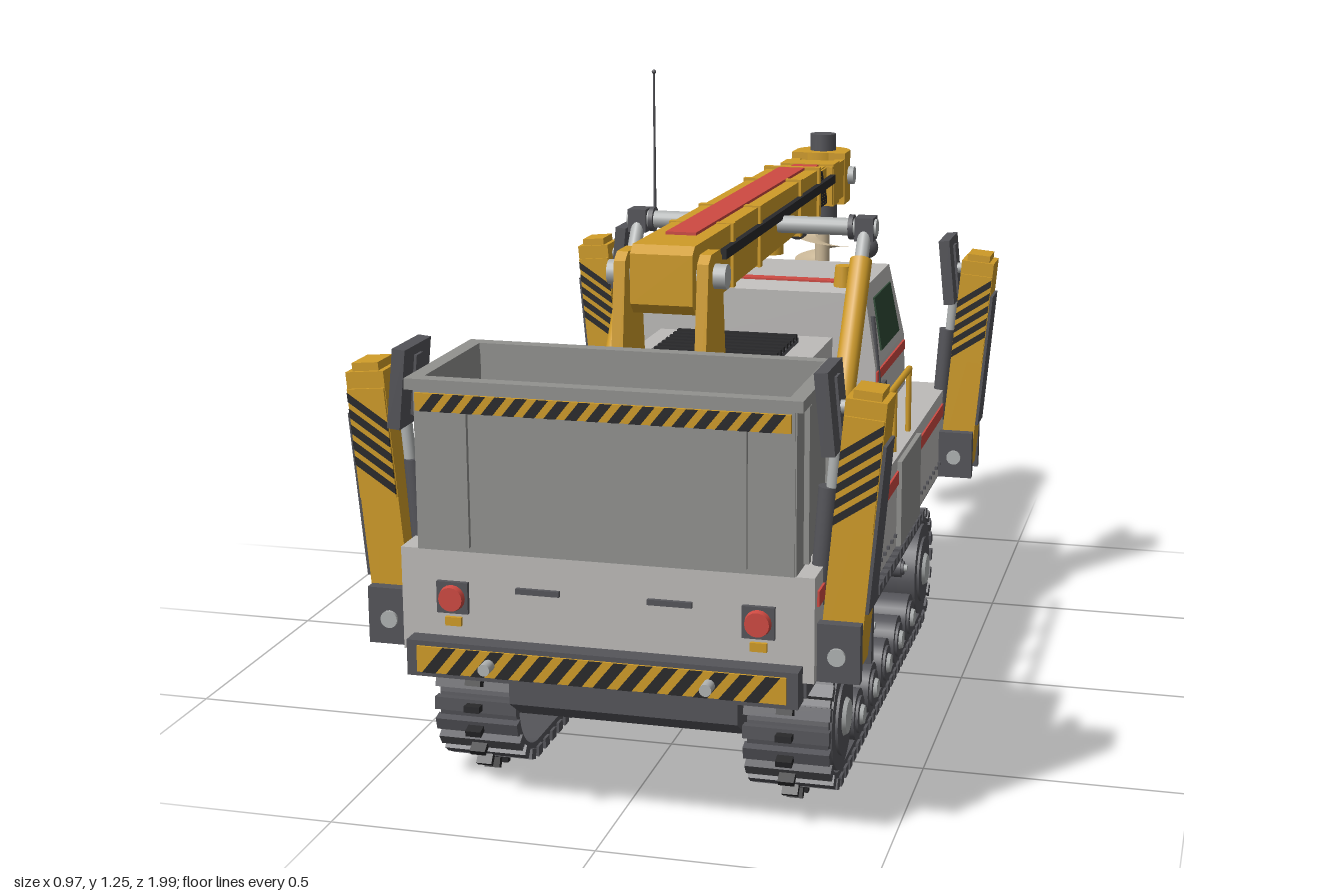
import * as THREE from 'three';
import { ParametricGeometry } from 'three/addons/geometries/ParametricGeometry.js';

const mat = (name, color, side = THREE.FrontSide) => Object.assign(new THREE.MeshStandardMaterial({ color, side }), { name });

export function createModel() {
  const body = mat('bodyGrey', 0xbdbbb9), bin = mat('panelGrey', 0x92928f), dark = mat('darkGrey', 0x55555a),
    black = mat('black', 0x29292b), yellow = mat('yellow', 0xd09c28), red = mat('red', 0xcf4a42),
    glass = mat('greenGlass', 0x2f4a36), soil = mat('soilBrown', 0x8c7562), tan = mat('augerTan', 0xcbb898, THREE.DoubleSide),
    steel = mat('steel', 0xb0b3b3);
  const root = new THREE.Group();
  const V = (x, y, z) => new THREE.Vector3(x, y, z);

  const add = (name, geo, m, p = [0, 0, 0], parent = root) => {
    const o = new THREE.Mesh(geo, m);
    o.name = name;
    o.position.set(...p);
    parent.add(o);
    return o;
  };
  const group = (name, p = [0, 0, 0], parent = root) => {
    const g = new THREE.Group();
    g.name = name;
    g.position.set(...p);
    parent.add(g);
    return g;
  };
  const box = (name, m, w, h, d, x, y, z, parent) => add(name, new THREE.BoxGeometry(w, h, d), m, [x, y, z], parent);
  // Cylinder between two points
  const rod = (name, m, a, b, r, parent, r2 = r, n = 16) => {
    const o = add(name, new THREE.CylinderGeometry(r2, r, a.distanceTo(b), n), m, a.clone().lerp(b, 0.5).toArray(), parent);
    o.quaternion.setFromUnitVectors(V(0, 1, 0), b.clone().sub(a).normalize());
    return o;
  };
  const shapeOf = pts => new THREE.Shape(pts.map(p => new THREE.Vector2(...p)));
  // Side profile of (z, y) points, extruded across x
  const prism = (shape, w) => new THREE.ExtrudeGeometry(shape, { depth: w, bevelEnabled: false, curveSegments: 16 })
    .translate(0, 0, -w / 2).rotateY(-Math.PI / 2);
  // Yellow plate facing +z with slanted black stripes
  const hazard = (w, h, n, skew, p, parent) => {
    const g = group('hazardPlate', p, parent), s = skew * h * 0.8, step = (w - Math.abs(s)) / n;
    box('hazardBase', yellow, w, h, 0.006, 0, 0, 0, g);
    for (let i = 0; i < n; i++) {
      const a = -w / 2 + Math.max(0, -s) + (i + 0.22) * step, b = a + step * 0.56;
      add('hazardStripe', new THREE.ExtrudeGeometry(shapeOf([[a, -h / 2], [b, -h / 2], [b + s, h / 2], [a + s, h / 2]]),
        { depth: 0.003, bevelEnabled: false }), black, [0, 0, 0.002], g);
    }
    return g;
  };

  // Lower hull
  add('lowerHull', prism(shapeOf([[0.77, 0.13], [0.83, 0.17], [0.83, 0.28], [-0.41, 0.28], [-0.41, 0.18], [-0.33, 0.13]]), 0.43), dark);
  box('skidPlate', dark, 0.34, 0.01, 0.9, 0, 0.127, 0.2);
  box('underDeck', dark, 0.72, 0.03, 1.46, 0, 0.285, 0.19);

  // Tracks
  const zA = -0.24, zB = 0.66, cy = 0.138;
  const stadium = (r, C) => new C().absarc(zB, cy, r, -Math.PI / 2, Math.PI / 2).absarc(zA, cy, r, Math.PI / 2, Math.PI * 1.5).closePath();
  for (const s of [-1, 1]) {
    const t = group(s > 0 ? 'leftTrack' : 'rightTrack', [s * 0.295, 0, 0]);
    const belt = stadium(0.12, THREE.Shape);
    belt.holes.push(stadium(0.104, THREE.Path));
    add('trackBelt', prism(belt, 0.15), dark, [0, 0, 0], t);
    const run = stadium(0.125, THREE.Path), count = 64;
    for (let i = 0; i < count; i++) {
      const p = run.getPointAt(i / count), d = run.getTangentAt(i / count);
      box('trackPad', dark, 0.16, 0.02, 0.024, 0, p.y, p.x, t).rotation.x = -Math.atan2(d.y, d.x);
      box('guideTooth', black, 0.03, 0.02, 0.012, 0, p.y - d.x * 0.022, p.x + d.y * 0.022, t).rotation.x = -Math.atan2(d.y, d.x);
    }
    const wheel = (name, z, y, r, hub) => {
      rod(name, dark, V(-0.06, y, z), V(0.06 * 1.3 * s, y, z), r, t, r, 28);
      rod(name + 'Ring', dark, V(s * 0.05, y, z), V(s * 0.083, y, z), r * 0.72, t);
      rod(name + 'Hub', steel, V(s * 0.07, y, z), V(s * 0.09, y, z), hub, t, hub * 0.7);
    };
    wheel('driveWheel', zA, cy, 0.1, 0.045);
    wheel('idlerWheel', zB, cy, 0.1, 0.045);
    for (let i = 0; i < 5; i++) wheel('roadWheel', 0.5 - i * 0.144, 0.08, 0.05, 0.025);
    for (const z of [0.4, 0.03]) wheel('returnRoller', z, 0.225, 0.02, 0.01);
  }

  // Upper body with side stripes, rivets and rails
  box('bodyHull', body, 0.75, 0.19, 1.48, 0, 0.395, 0.19);
  for (const s of [-1, 1]) {
    box('sideStripe', red, 0.006, 0.028, 1.38, s * 0.376, 0.447, 0.22);
    for (let i = 0; i < 30; i++) box('rivet', dark, 0.008, 0.007, 0.007, s * 0.377, 0.33, 0.76 - i * 0.041);
    const rail = group('handRail');
    rod('railTop', yellow, V(s * 0.36, 0.625, 0.58), V(s * 0.36, 0.625, -0.1), 0.007, rail, 0.007, 8);
    for (const z of [0.575, 0.41, 0.25, 0.08, -0.095])
      rod('railPost', yellow, V(s * 0.36, 0.48, z), V(s * 0.36, 0.625, z), 0.006, rail, 0.006, 8);
  }
  box('sidePanel', bin, 0.012, 0.18, 0.24, 0.379, 0.39, 0);
  box('sideStep', bin, 0.06, 0.04, 0.11, -0.4, 0.41, -0.255);

  // Bumpers, lamps and grille on both ends
  for (const [s, z] of [[1, 0.93], [-1, -0.55]]) {
    const e = group(s > 0 ? 'frontEnd' : 'backEnd', [0, 0, z]);
    if (s < 0) e.rotation.y = Math.PI;
    box('bumper', dark, 0.71, 0.066, 0.045, 0, 0.298, 0.015, e);
    hazard(0.67, 0.048, 14, 1, [0, 0.298, 0.039], e);
    for (const x of [-0.2, 0.2]) {
      rod('towPin', steel, V(x, 0.298, 0), V(x, 0.298, s > 0 ? 0.07 : 0.055), 0.011, e);
      box('lampPlate', dark, 0.058, 0.058, 0.012, x * 1.39, 0.405, 0.003, e);
      rod('lamp', s > 0 ? red : steel, V(x * 1.39, 0.405, 0), V(x * 1.39, 0.405, 0.02), 0.026, e, 0.022);
      box('marker', yellow, 0.03, 0.016, 0.01, x * 1.39, 0.36, 0.002, e);
      if (s > 0) box('handleSlot', dark, 0.08, 0.01, 0.01, x * 0.6, 0.426, 0.003, e);
    }
    if (s < 0) {
      box('grille', black, 0.34, 0.085, 0.008, 0, 0.415, 0.002, e);
      for (let i = 0; i < 10; i++) box('grilleSlat', bin, 0.012, 0.075, 0.012, (i - 4.5) * 0.033, 0.415, 0.004, e);
    }
  }

  // Spoil bin
  const hopper = group('spoilBin', [0, 0, 0.775]);
  for (const s of [-1, 1]) {
    box('binEndWall', bin, 0.68, 0.3, 0.015, 0, 0.64, s * 0.15, hopper);
    box('binSideWall', bin, 0.015, 0.3, 0.31, s * 0.335, 0.64, 0, hopper);
    box('binRim', bin, 0.71, 0.02, 0.028, 0, 0.79, s * 0.152, hopper);
    box('binSideRim', bin, 0.028, 0.02, 0.3, s * 0.341, 0.79, 0, hopper);
    for (const x of [-0.25, 0.25]) box('binRib', bin, 0.016, 0.26, 0.012, x, 0.63, s * 0.161, hopper);
    for (const z of [-0.09, 0.09]) box('binSideRib', bin, 0.012, 0.28, 0.016, s * 0.346, 0.635, z, hopper);
  }
  hazard(0.67, 0.032, 17, 1, [0, 0.76, 0.166], hopper);
  const heap = new THREE.PlaneGeometry(0.66, 0.29, 16, 8).rotateX(-Math.PI / 2), hp = heap.attributes.position;
  for (let i = 0; i < hp.count; i++) {
    const x = hp.getX(i), z = hp.getZ(i);
    hp.setY(i, 0.035 * Math.cos(x * 4.5) * Math.cos(z * 9) + 0.006 * Math.sin(x * 41 + z * 57));
  }
  heap.computeVertexNormals();
  add('soilHeap', heap, soil, [0, 0.68, 0], hopper);
  [[-0.13, -0.03], [0.02, -0.03], [0.175, -0.06], [0.1, 0.03], [-0.03, 0.06]].forEach(([x, z], i) =>
    add('rock', new THREE.DodecahedronGeometry(0.02 + 0.004 * (i % 3)), i < 3 ? soil : tan, [x, 0.71, z], hopper));

  // Engine cover with vents
  box('engineCover', body, 0.38, 0.19, 0.45, 0, 0.585, 0.11);
  box('topVent', dark, 0.26, 0.012, 0.3, 0, 0.684, 0.1);
  for (let i = 0; i < 10; i++) box('ventSlat', black, 0.26, 0.012, 0.014, 0, 0.693, -0.035 + i * 0.03);
  for (const s of [-1, 1]) for (let i = 0; i < 4; i++) box('sideLouver', dark, 0.008, 0.01, 0.19, s * 0.19, 0.55 + i * 0.022, 0.01);

  // Cab, narrowing toward the roof
  const cabPart = (name, pts, w, m) => {
    const g = prism(shapeOf(pts), w), p = g.attributes.position;
    for (let i = 0; i < p.count; i++) p.setX(i, p.getX(i) * (1 - 0.55 * Math.max(0, p.getY(i) - 0.61)));
    g.computeVertexNormals();
    return add(name, g, m);
  };
  cabPart('cab', [[-0.14, 0.48], [-0.14, 0.61], [-0.14, 0.772], [-0.18, 0.785], [-0.44, 0.785], [-0.5, 0.615], [-0.525, 0.48]], 0.56, body);
  cabPart('sideWindow', [[-0.215, 0.635], [-0.215, 0.75], [-0.41, 0.75], [-0.435, 0.635]], 0.568, glass);
  cabPart('cabStripe', [[-0.145, 0.58], [-0.145, 0.602], [-0.49, 0.602], [-0.494, 0.58]], 0.568, red);
  box('roofStripe', red, 0.5, 0.006, 0.03, 0, 0.786, -0.2);
  const screen = group('windscreen', [0, 0.7, -0.472]);
  screen.rotation.x = 0.34;
  for (const s of [-1, 1]) {
    box('screenFrame', black, 0.242, 0.15, 0.006, s * 0.123, 0, 0, screen);
    box('screenPane', glass, 0.225, 0.132, 0.009, s * 0.122, 0, -0.002, screen);
    rod('wiper', black, V(s * 0.05, -0.07, -0.009), V(s * 0.13, 0.02, -0.009), 0.004, screen, 0.004, 6);
    box('doorHandle', dark, 0.012, 0.01, 0.04, s * 0.282, 0.56, -0.22);
    rod('grabBar', dark, V(s * 0.285, 0.56, -0.165), V(s * 0.268, 0.72, -0.165), 0.005, root, 0.005, 8);
    rod('lampStem', dark, V(s * 0.21, 0.78, -0.4), V(s * 0.21, 0.82, -0.4), 0.008);
    add('workLamp', new THREE.SphereGeometry(0.025, 16, 12), dark, [s * 0.21, 0.828, -0.4]);
    rod('beacon', yellow, V(s * 0.2, 0.78, -0.18), V(s * 0.2, 0.825, -0.18), 0.022, root, 0.018);
  }
  rod('antenna', dark, V(-0.217, 0.78, -0.17), V(-0.217, 1.23, -0.17), 0.004, root, 0.002, 8);
  add('antennaTip', new THREE.SphereGeometry(0.005, 8, 6), dark, [-0.217, 1.23, -0.17]);

  // Boom mast and lift cylinders
  for (const s of [-1, 1]) {
    add('mastPlate', prism(shapeOf([[0.61, 0.49], [0.55, 0.95], [0.53, 0.965], [0.47, 0.965], [0.45, 0.95], [0.39, 0.49]]), 0.022), yellow, [s * 0.08, 0, 0]);
    const lift = group('liftCylinder', [s * 0.25, 0, 0]);
    box('cylinderFoot', dark, 0.06, 0.035, 0.07, 0, 0.505, 0.12, lift);
    rod('cylinderBarrel', yellow, V(0, 0.51, 0.12), V(0, 0.85, -0.115), 0.024, lift);
    rod('cylinderRod', steel, V(0, 0.84, -0.11), V(0, 0.91, -0.16), 0.015, lift);
    box('cylinderEye', dark, 0.04, 0.05, 0.05, 0, 0.91, -0.165, lift);
    rod('barCollar', dark, V(-0.005 - s * 0.03, 0.912, -0.165), V(0.005 - s * 0.03, 0.912, -0.165), 0.027, lift);
  }
  rod('mastPin', steel, V(-0.115, 0.92, 0.5), V(0.115, 0.92, 0.5), 0.024);
  rod('crossBar', steel, V(-0.275, 0.912, -0.165), V(0.275, 0.912, -0.165), 0.019);

  // Boom
  add('boomBase', prism(shapeOf([[0.53, 0.85], [0.55, 0.87], [0.55, 0.965], [0.53, 0.98], [-0.58, 0.973], [-0.58, 0.865]]), 0.12), yellow);
  box('boomExtension', yellow, 0.09, 0.09, 0.24, 0, 0.916, -0.66);
  box('boomStripe', red, 0.06, 0.006, 0.99, 0, 0.979, -0.085).rotation.x = -0.006;
  box('extensionStripe', red, 0.06, 0.006, 0.14, 0, 0.962, -0.65);
  for (const z of [0.25, 0.02, -0.37, -0.57]) box('boomBand', yellow, 0.132, 0.128, 0.018, 0, 0.916, z);
  for (const s of [-1, 1]) {
    box('boomHose', black, 0.012, 0.02, 1.06, s * 0.066, 0.933, -0.19);
    const h = hazard(0.16, 0.085, 4, -s, [s * 0.047, 0.916, -0.655]);
    h.rotation.y = s * Math.PI / 2;
    box('forkArm', yellow, 0.022, 0.09, 0.2, s * 0.053, 0.915, -0.82);
  }
  box('forkRoot', yellow, 0.13, 0.1, 0.07, 0, 0.915, -0.765);
  rod('boomLampStem', dark, V(0, 0.83, -0.63), V(0, 0.88, -0.63), 0.012);
  add('boomLamp', new THREE.SphereGeometry(0.026, 14, 10), dark, [0, 0.825, -0.63]);
  rod('boomSensor', yellow, V(0, 0.81, -0.37), V(0, 0.87, -0.37), 0.025);

  // Auger head and auger
  const auger = group('auger', [0, 0, -0.92]);
  rod('headRound', yellow, V(0, 0.85, 0), V(0, 0.975, 0), 0.066, auger, 0.066, 24);
  box('headBlock', yellow, 0.132, 0.125, 0.07, 0, 0.9125, 0.025, auger);
  rod('headPin', steel, V(-0.08, 0.915, 0.005), V(0.08, 0.915, 0.005), 0.022, auger);
  rod('motor', dark, V(0, 0.97, 0), V(0, 1.015, 0), 0.032, auger);
  rod('coupling', dark, V(0, 0.8, 0), V(0, 0.86, 0), 0.036, auger);
  rod('augerCore', tan, V(0, 0.6, 0), V(0, 0.81, 0), 0.018, auger);
  add('augerFlight', new ParametricGeometry((u, v, p) => {
    const a = u * Math.PI * 5.4, r = 0.016 + v * 0.052;
    p.set(r * Math.cos(a), 0.61 + 0.17 * u, r * Math.sin(a));
  }, 80, 3), tan, [0, 0, 0], auger);
  rod('augerTip', dark, V(0, 0.565, 0), V(0, 0.605, 0), 0.03, auger, 0.014, 8);

  // Folded stabiliser legs on the four corners
  for (const z of [0.845, -0.5]) for (const s of [-1, 1]) {
    const leg = group('stabiliser', [0, 0, z]);
    if (s < 0) leg.rotation.y = Math.PI;
    for (const k of [-1, 1]) box('hingeCheek', dark, 0.085, 0.105, 0.022, 0.408, 0.35, k * 0.053, leg);
    rod('hingePin', steel, V(0.41, 0.345, -0.07), V(0.41, 0.345, 0.07), 0.016, leg);
    const arm = group('legArm', [0.43, 0.555, 0], leg);
    arm.rotation.z = -0.09;
    box('legBeam', yellow, 0.072, 0.48, 0.084, 0, 0, 0, arm);
    box('legTop', yellow, 0.05, 0.02, 0.07, 0, 0.245, 0, arm);
    box('legCover', dark, 0.008, 0.3, 0.08, 0.038, 0.015, 0, arm);
    for (const k of [-1, 1]) {
      const h = hazard(0.2, 0.07, 5, -k, [0, 0.11, k * 0.044], arm);
      h.rotation.set(0, k < 0 ? Math.PI : 0, Math.PI / 2);
    }
    rod('legRam', steel, V(0.37, 0.43, 0), V(0.395, 0.73, 0), 0.011, leg);
    rod('legRamBarrel', dark, V(0.365, 0.42, 0), V(0.38, 0.63, 0), 0.018, leg);
    const pad = group('footPad', [0.384, 0.77, 0], leg);
    pad.rotation.z = 0.1;
    box('padPlate', dark, 0.024, 0.145, 0.125, 0, 0, 0, pad);
    box('padRib', dark, 0.034, 0.11, 0.03, 0, 0, 0, pad);
    rod('padJoint', steel, V(-0.02, 0, 0), V(0.03, 0, 0), 0.012, pad);
  }
  return root;
}
